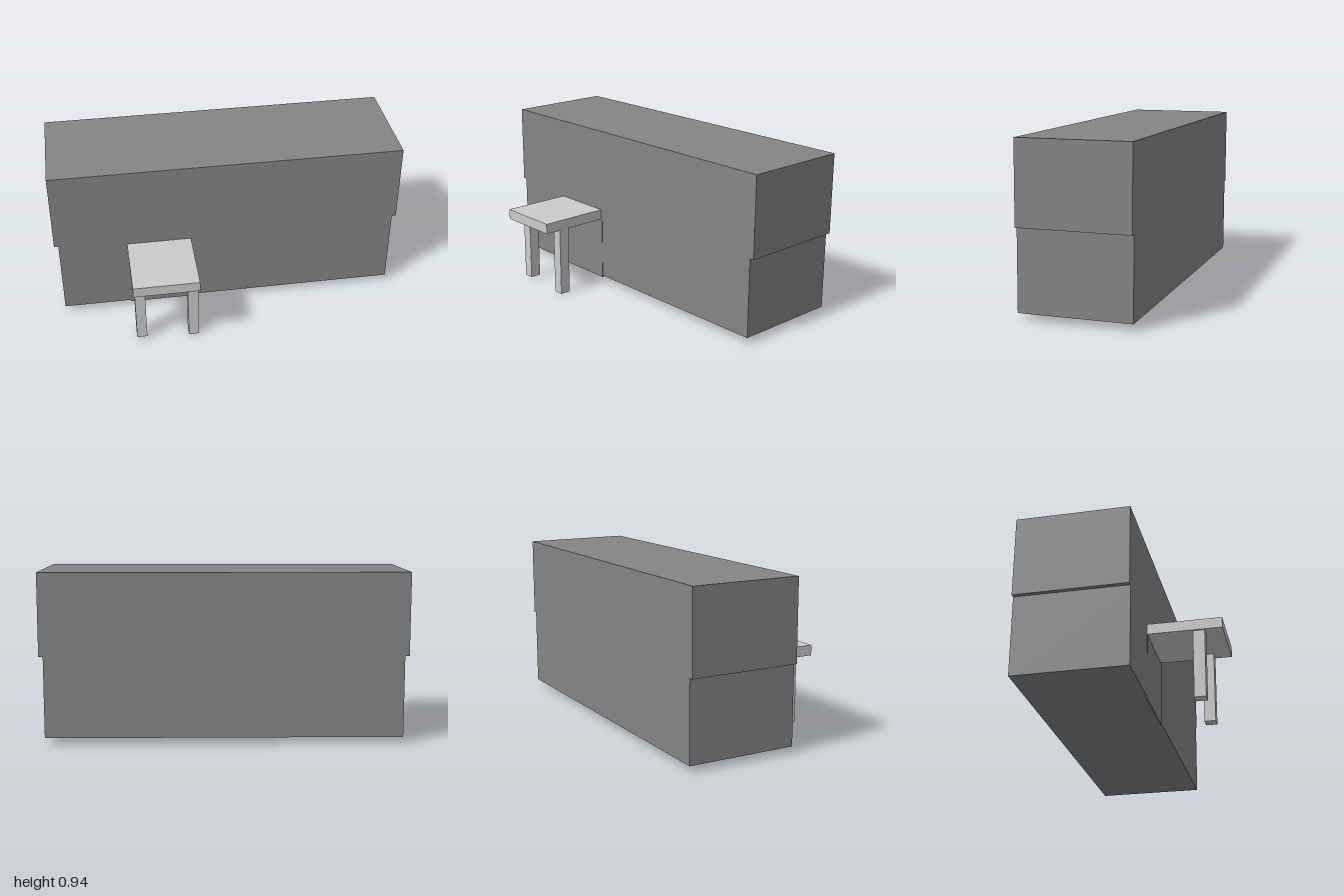
import * as THREE from 'three';

const dark = new THREE.MeshStandardMaterial({ color: 0x858585 });
const light = new THREE.MeshStandardMaterial({ color: 0xcccccc });

// Box given by its extents along each axis
function box(name, material, [x0, x1], [y0, y1], [z0, z1]) {
  const mesh = new THREE.Mesh(new THREE.BoxGeometry(x1 - x0, y1 - y0, z1 - z0), material);
  mesh.position.set((x0 + x1) / 2, (y0 + y1) / 2, (z0 + z1) / 2);
  mesh.name = name;
  return mesh;
}

export function createModel() {
  const model = new THREE.Group();
  model.name = 'cabinetWithTable';

  // Main body: wider upper block on a slightly narrower lower block
  const depth = [-0.512, 0.107];
  model.add(
    box('upperBody', dark, [-1, 1], [0.483, 0.937], depth),
    box('lowerBody', dark, [-0.976, 0.976], [0.037, 0.483], depth),
  );

  // Small table against the front, with a thin panel behind it
  const table = new THREE.Group();
  table.name = 'table';
  table.add(
    box('tableTop', light, [-0.588, -0.219], [0.397, 0.456], [0.1, 0.512]),
    box('rightLeg', light, [-0.577, -0.519], [0.016, 0.397], [0.353, 0.416]),
    box('leftLeg', light, [-0.278, -0.219], [0, 0.397], [0.357, 0.419]),
    box('backPanel', dark, [-0.588, -0.21], [0.027, 0.397], [0.1, 0.109]),
  );
  model.add(table);
  return model;
}
